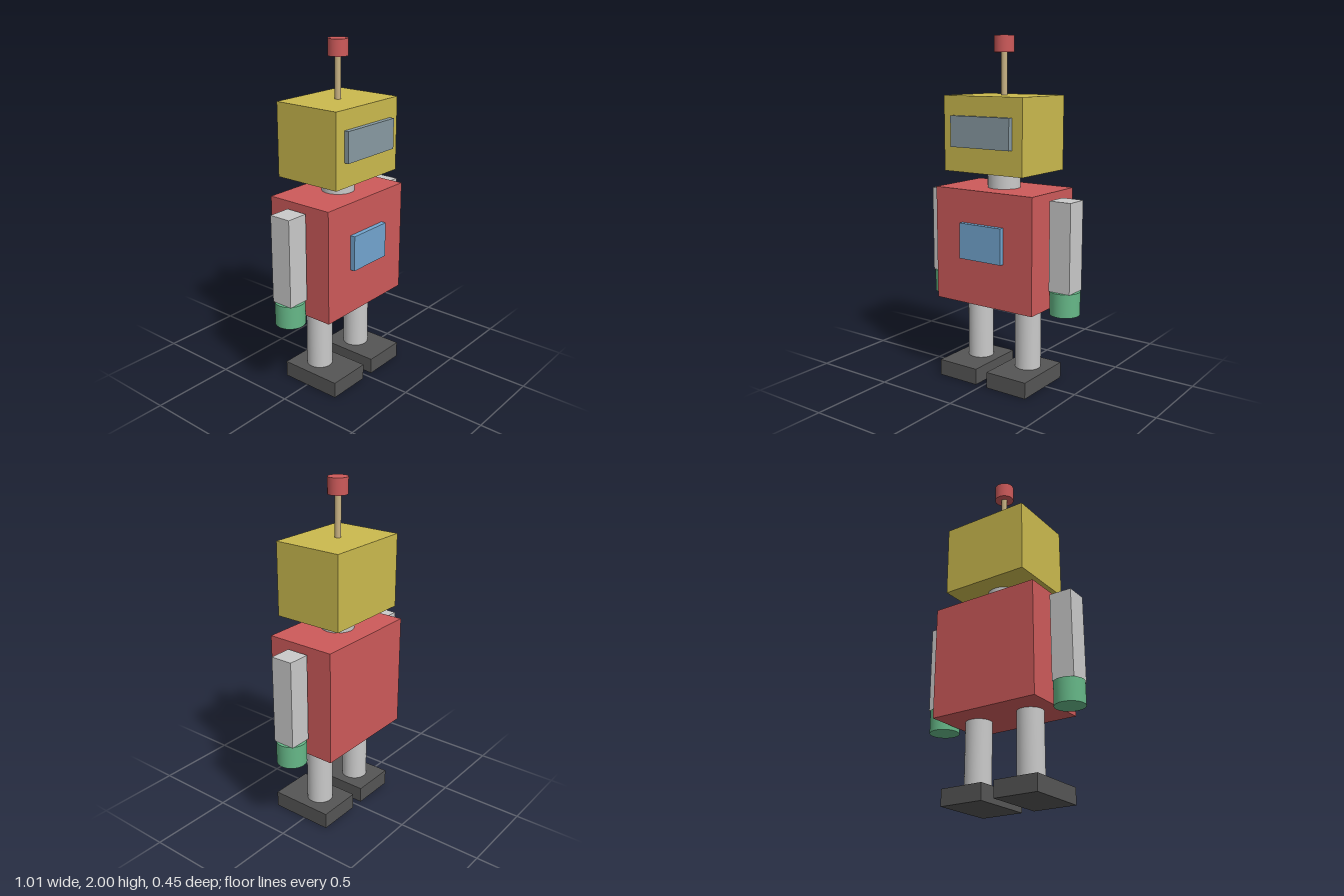
import * as THREE from 'three';

const paint = (name, color) => {
  const m = new THREE.MeshStandardMaterial({ color });
  m.name = name;
  return m;
};

export function createModel() {
  const robot = new THREE.Group();
  robot.name = 'robot';

  const red = paint('red', 0xcd5a5a);
  const yellow = paint('yellow', 0xcbba4e);
  const grey = paint('light grey', 0xcacaca);
  const green = paint('green', 0x66b888);
  const dark = paint('dark grey', 0x555555);
  const blue = paint('blue', 0x72a5cf);
  const slate = paint('slate', 0x889aa2);
  const tan = paint('tan', 0xc9b384);

  const Z = -0.014; // depth of the main axis

  const add = (name, geometry, material, x, y, z) => {
    const mesh = new THREE.Mesh(geometry, material);
    mesh.name = name;
    mesh.position.set(x, y, z);
    robot.add(mesh);
  };
  // Boxes and upright cylinders are placed by their bottom and top heights
  const box = (name, mat, w, d, y0, y1, x = 0, z = Z) =>
    add(name, new THREE.BoxGeometry(w, y1 - y0, d), mat, x, (y0 + y1) / 2, z);
  const rod = (name, mat, r, y0, y1, x = 0, z = Z) =>
    add(name, new THREE.CylinderGeometry(r, r, y1 - y0, 40), mat, x, (y0 + y1) / 2, z);

  // Torso, neck and head
  box('torso', red, 0.666, 0.42, 0.48, 1.145);
  box('chestPanel', blue, 0.286, 0.03, 0.748, 0.955, 0, 0.21);
  rod('neck', grey, 0.095, 1.145, 1.243);
  box('head', yellow, 0.534, 0.42, 1.243, 1.67);
  box('visor', slate, 0.4, 0.03, 1.385, 1.56, 0, 0.21);

  // Antenna
  rod('antennaRod', tan, 0.018, 1.67, 1.907);
  rod('antennaTip', red, 0.057, 1.907, 2);

  // Limbs on both sides
  for (const [side, s] of [['left', 1], ['right', -1]]) {
    box(`${side}Arm`, grey, 0.133, 0.133, 0.595, 1.107, s * 0.419);
    rod(`${side}Hand`, green, 0.086, 0.46, 0.595, s * 0.419);
    rod(`${side}Leg`, grey, 0.076, 0.095, 0.48, s * 0.172);
    box(`${side}Foot`, dark, 0.266, 0.38, 0, 0.095, s * 0.172, 0.025);
  }

  return robot;
}
